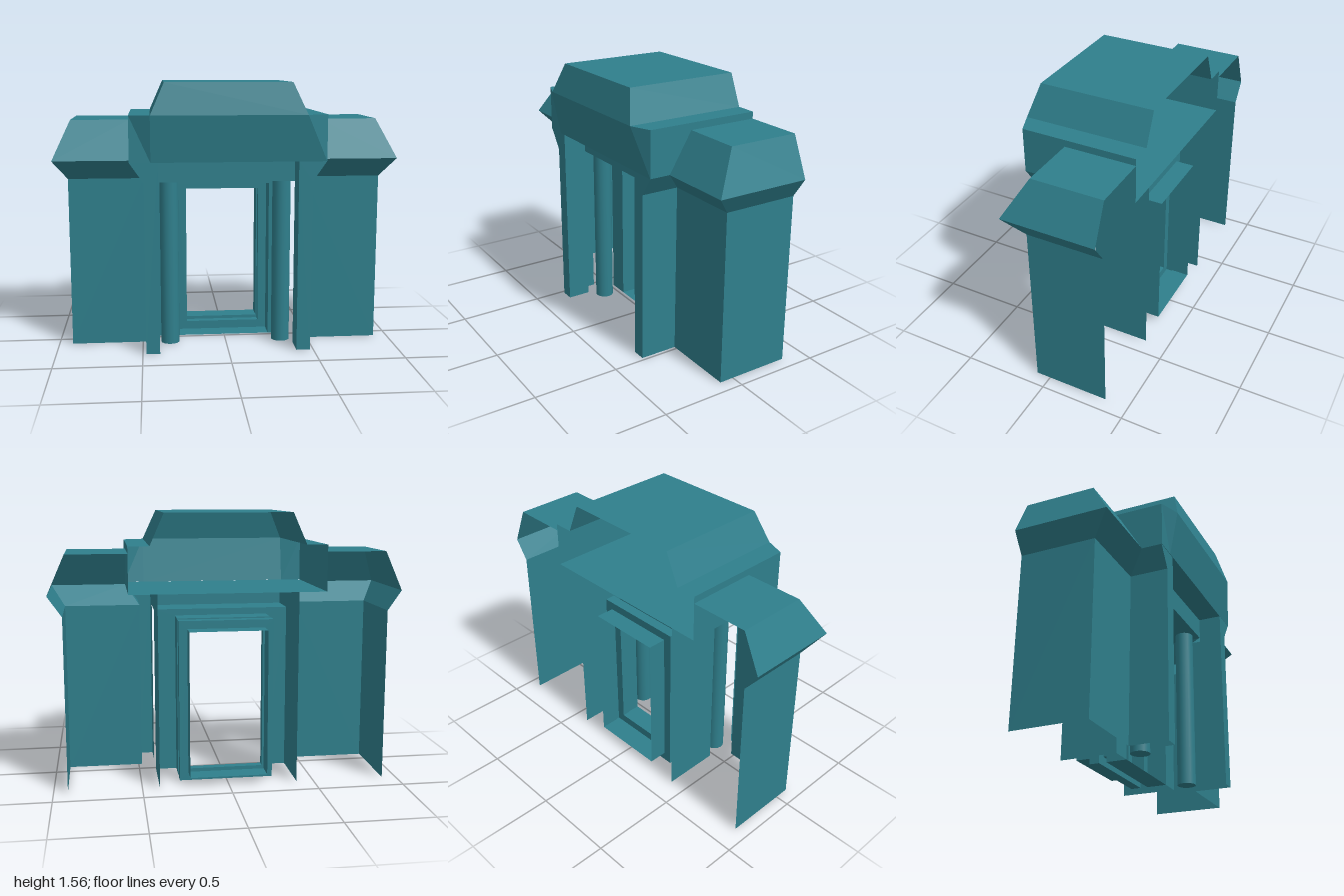
import * as THREE from 'three';

const material = new THREE.MeshStandardMaterial({ color: 0x2f7f8c, side: THREE.DoubleSide });
const BACK = -0.36;

function mesh(name, geometry) {
  const m = new THREE.Mesh(geometry, material);
  m.name = name;
  return m;
}

// Skin between successive rows of [x, y, z] points, flat shaded; s = -1 mirrors in x
function skin(name, rows, s = 1) {
  const pos = [];
  const tri = (a, b, c) => {
    const [A, B, C] = [a, b, c].map((p) => new THREE.Vector3(p[0] * s, p[1], p[2]));
    if (new THREE.Triangle(A, B, C).getArea() < 1e-7) return;
    for (const v of s > 0 ? [A, B, C] : [A, C, B]) pos.push(v.x, v.y, v.z);
  };
  for (let r = 0; r + 1 < rows.length; r++) {
    for (let i = 0; i + 1 < rows[r].length; i++) {
      const a = rows[r][i], b = rows[r][i + 1], c = rows[r + 1][i + 1], d = rows[r + 1][i];
      tri(a, d, c);
      tri(a, c, b);
    }
  }
  const g = new THREE.BufferGeometry();
  g.setAttribute('position', new THREE.Float32BufferAttribute(pos, 3));
  g.computeVertexNormals();
  return mesh(name, g);
}

// A plan path of [x, z] points at one height
const level = (y, path) => path.map(([x, z]) => [x, y, z]);

function flat(points) {
  return new THREE.ShapeGeometry(new THREE.Shape(points.map(([x, y]) => new THREE.Vector2(x, y))));
}

function createSide(s) {
  const side = new THREE.Group();
  side.name = s > 0 ? 'leftSide' : 'rightSide';

  // Pier walls with a flared cornice that turns into the jamb
  const plan = [[0.92, BACK], [0.92, 0.085], [0.48, 0.085], [0.48, 0.31]];
  side.add(skin('pier', [
    level(0, plan),
    level(1, plan),
    level(1.115, [[1, BACK], [1, 0.19], [0.56, 0.19], [0.56, 0.31]]),
  ], s));

  // Sloped pier roof
  side.add(skin('pierRoofSlope', [
    level(1.115, [[1, BACK], [1, 0.19], [0.56, 0.19]]),
    level(1.34, [[0.9, BACK], [0.9, 0.055], [0.56, 0.055]]),
  ], s));
  side.add(skin('pierRoofTop', [
    level(1.34, [[0.9, BACK], [0.9, 0.055]]),
    level(1.34, [[0.56, BACK], [0.56, 0.055]]),
  ], s));

  // Jamb front, widening under the lintel
  const front = flat([[0.4, 0], [0.48, 0], [0.48, 1], [0.56, 1.115], [0.4, 1.115]].map(([x, y]) => [x * s, y]));
  front.translate(0, 0, 0.31);
  side.add(mesh('jambFront', front));

  // Jamb inner wall, open beside the column
  const inner = flat([
    [BACK, 0], [-0.024, 0], [-0.024, 0.985], [0.17, 0.985],
    [0.17, 0], [0.31, 0], [0.31, 1.115], [BACK, 1.115],
  ]);
  inner.rotateY(-Math.PI / 2);
  if (s < 0) inner.rotateY(Math.PI).scale(1, 1, -1);
  inner.translate(0.4 * s, 0, 0);
  side.add(mesh('jambInnerWall', inner));

  // Round column
  const column = mesh('column', new THREE.CylinderGeometry(0.055, 0.055, 0.985, 16));
  column.position.set(0.335 * s, 0.4925, 0.085);
  side.add(column);
  return side;
}

export function createModel() {
  const model = new THREE.Group();
  model.name = 'gateway';
  model.add(createSide(1), createSide(-1));

  // Lintel block, ledge and tapered crown, open at the back
  const mirrored = (half) => [...half, ...half.map(([x, z]) => [-x, z]).reverse()];
  model.add(skin('lintel', [
    level(1.115, mirrored([[0.56, BACK], [0.56, 0.312], [0.44, 0.312]])),
    level(1.38, mirrored([[0.56, BACK], [0.56, 0.312], [0.44, 0.36]])),
    level(1.38, mirrored([[0.44, BACK], [0.44, 0.36], [0.44, 0.36]])),
    level(1.56, mirrored([[0.36, BACK], [0.36, 0.31], [0.36, 0.31]])),
    level(1.56, mirrored([[0, BACK], [0, 0.31], [0, 0.31]])),
  ]));
  model.add(skin('lintelUnderside', [
    level(1.115, [[0.56, BACK], [-0.56, BACK]]),
    level(1.115, [[0.56, 0.31], [-0.56, 0.31]]),
  ]));

  // Beam resting on the columns
  const across = (y, z) => [[0.4, y, z], [-0.4, y, z]];
  model.add(skin('beam', [across(0.985, -0.024), across(0.985, 0.17), across(1.115, 0.17)]));

  // Panel around the doorway
  const panel = flat([
    [-0.4, 0], [-0.275, 0], [-0.275, 0.947], [0.275, 0.947],
    [0.275, 0], [0.4, 0], [0.4, 0.985], [-0.4, 0.985],
  ]);
  panel.translate(0, 0, -0.024);
  model.add(mesh('doorPanel', panel));

  // Stepped, grooved door frame: [outward offset, z]
  const profile = [
    [0.05, -0.024], [0.05, -0.145], [0, -0.145], [0, -0.19],
    [0.05, -0.19], [0.05, -0.25], [0, -0.25], [0, BACK],
  ];
  model.add(skin('doorFrame', profile.map(([d, z]) => {
    const x = 0.225 + d, y0 = 0.05 - d, y1 = 0.9 + d * 0.94;
    return [[x, y0, z], [x, y1, z], [-x, y1, z], [-x, y0, z], [x, y0, z]];
  })));
  return model;
}
